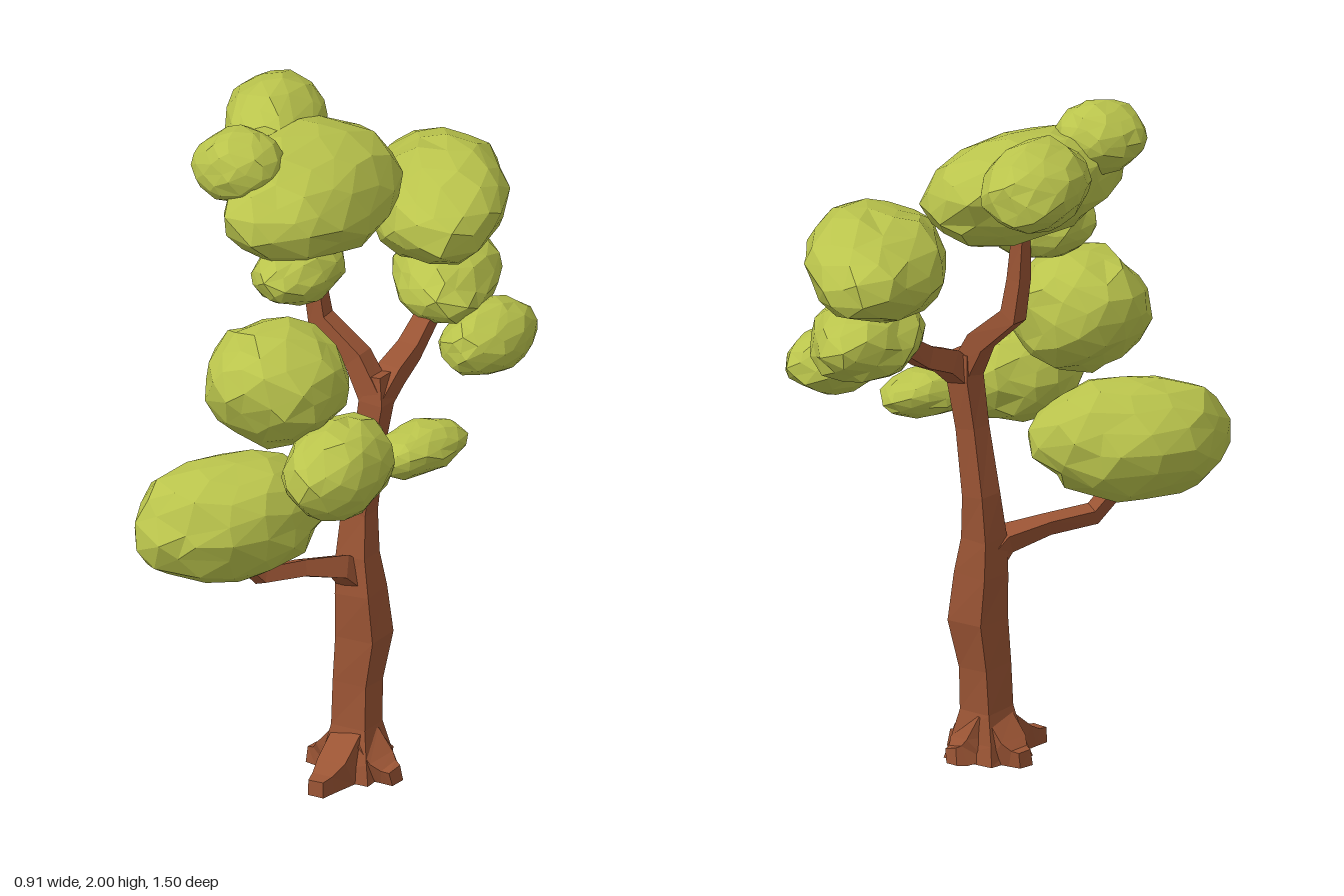
import * as THREE from 'three';

const bark = new THREE.MeshStandardMaterial({ color: 0x9a5434, flatShading: true });
const leaf = new THREE.MeshStandardMaterial({ color: 0xbac44c, flatShading: true });
const SIDES = 4;

// Square-section limb through points [x, y, z, corner radius], closed at both ends
function limb(name, points) {
  const centres = points.map(([x, y, z]) => new THREE.Vector3(x, y, z));
  const up = new THREE.Vector3(0, 1, 0);
  const start = centres[1].clone().sub(centres[0]).normalize();
  const turn = new THREE.Quaternion().setFromUnitVectors(up, start);
  const heading = start.clone();
  const pos = [], index = [];
  const push = (v) => pos.push(v.x, Math.max(0, v.y), v.z);
  points.forEach((p, i) => {
    const a = centres[Math.max(0, i - 1)], b = centres[Math.min(points.length - 1, i + 1)];
    const tangent = b.clone().sub(a).normalize();
    turn.premultiply(new THREE.Quaternion().setFromUnitVectors(heading, tangent));
    heading.copy(tangent);
    for (let s = 0; s < SIDES; s++) {
      const t = ((s + 0.5) / SIDES) * Math.PI * 2;
      const r = p[3] * (1 + 0.05 * Math.sin(s * 2.3 + i * 1.7));
      push(new THREE.Vector3(Math.cos(t) * r, 0, Math.sin(t) * r).applyQuaternion(turn).add(centres[i]));
    }
  });
  for (let i = 0; i < points.length - 1; i++) {
    for (let s = 0; s < SIDES; s++) {
      const a = i * SIDES + s, b = i * SIDES + (s + 1) % SIDES;
      index.push(a, a + SIDES, b, b, a + SIDES, b + SIDES);
    }
  }
  const last = (points.length - 1) * SIDES, bottom = points.length * SIDES;
  push(centres[0]);
  push(centres[centres.length - 1]);
  for (let s = 0; s < SIDES; s++) {
    const n = (s + 1) % SIDES;
    index.push(bottom, s, n, bottom + 1, last + n, last + s);
  }
  const geo = new THREE.BufferGeometry();
  geo.setAttribute('position', new THREE.Float32BufferAttribute(pos, 3));
  geo.setIndex(index);
  geo.computeVertexNormals();
  const mesh = new THREE.Mesh(geo, bark);
  mesh.name = name;
  return mesh;
}

// Irregular faceted clump of leaves
function clump(name, centre, radii, yaw, roll, seed) {
  const geo = new THREE.IcosahedronGeometry(1, 2);
  const p = geo.attributes.position, v = new THREE.Vector3();
  for (let i = 0; i < p.count; i++) {
    v.fromBufferAttribute(p, i).normalize();
    const { x, y, z } = v;
    const bump = 1.025 + 0.03 * Math.sin(5 * x + 3 * y + seed) + 0.03 * Math.sin(6 * z - 4 * y + seed * 2.1)
      + 0.025 * Math.sin(11 * x + 9 * z + 13 * y + seed);
    v.x += 0.12 * Math.sin(9 * y + 7 * z + seed * 3);
    v.z += 0.1 * Math.sin(8 * x + 10 * y + seed);
    v.normalize().multiplyScalar(bump);
    p.setXYZ(i, v.x * radii[0], v.y * radii[1], v.z * radii[2]);
  }
  geo.computeVertexNormals();
  const mesh = new THREE.Mesh(geo, leaf);
  mesh.name = name;
  mesh.position.set(...centre);
  mesh.rotation.set(0, yaw, roll);
  return mesh;
}

export function createModel() {
  const tree = new THREE.Group();
  tree.name = 'tree';

  // Trunk and branches
  tree.add(
    limb('trunk', [
      [0.12, 0, 0.08, 0.125], [0.12, 0.06, 0.08, 0.105], [0.122, 0.15, 0.075, 0.08], [0.122, 0.28, 0.065, 0.075],
      [0.13, 0.42, 0.048, 0.085], [0.12, 0.56, 0.053, 0.08], [0.112, 0.67, 0.05, 0.068], [0.11, 0.8, 0.035, 0.054],
      [0.135, 1.0, 0.03, 0.048], [0.155, 1.15, 0.02, 0.056], [0.15, 1.23, 0.015, 0.048],
    ]),
    limb('upperBranch', [
      [0.155, 1.16, 0.02, 0.05], [0.09, 1.27, 0.015, 0.045], [-0.03, 1.37, 0.015, 0.042],
      [-0.045, 1.48, 0.02, 0.035], [-0.055, 1.6, 0.02, 0.028], [-0.06, 1.78, 0.02, 0.015],
    ]),
    limb('backBranch', [
      [0.155, 1.15, 0.02, 0.05], [0.165, 1.21, -0.05, 0.05], [0.17, 1.245, -0.15, 0.045],
      [0.17, 1.32, -0.28, 0.037], [0.17, 1.4, -0.38, 0.025],
    ]),
    limb('lowBranch', [
      [0.11, 0.59, 0.05, 0.055], [0.09, 0.65, 0.12, 0.046], [0.03, 0.68, 0.24, 0.034],
      [-0.03, 0.695, 0.37, 0.033], [-0.06, 0.75, 0.41, 0.031], [-0.07, 0.86, 0.45, 0.022],
    ]),
  );

  // Root flares: tip x, tip z
  const roots = [[-0.03, 0.07], [0.11, 0.3], [0.27, 0.11], [0.15, -0.05]];
  roots.forEach(([x, z]) => {
    const at = (t, y, r) => [0.12 + (x - 0.12) * t, y, 0.08 + (z - 0.08) * t, r];
    tree.add(limb('root', [at(0.1, 0.1, 0.07), at(0.5, 0.035, 0.066), at(0.8, 0.02, 0.046), at(1, 0.022, 0.036)]));
  });

  // Leaf clumps: name, centre, radii, yaw, roll
  const clumps = [
    ['lowLeaves', [-0.082, 0.91, 0.48], [0.2, 0.178, 0.288], -0.6, 0],
    ['lowSideLeaves', [0.21, 1.08, 0.35], [0.143, 0.142, 0.223], 0.05, 0],
    ['smallSideLeaves', [0.33, 1.06, 0.075], [0.097, 0.07, 0.168], -0.2, 0],
    ['middleLeaves', [0.01, 1.31, 0.352], [0.2, 0.178, 0.2], 0, 0],
    ['backSideLeaves', [0.335, 1.255, -0.327], [0.115, 0.1, 0.19], 0, 0],
    ['backLowerLeaves', [0.14, 1.38, -0.435], [0.155, 0.115, 0.275], 0.45, 0],
    ['backUpperLeaves', [0.105, 1.605, -0.435], [0.203, 0.15, 0.353], 0.58, 0.2],
    ['crownLeaves', [-0.06, 1.765, 0.02], [0.215, 0.158, 0.352], 0, -0.35],
    ['crownBackLeaves', [-0.29, 1.855, -0.19], [0.142, 0.124, 0.232], 0.4, 0],
    ['crownTopLeaves', [-0.19, 1.895, 0.215], [0.13, 0.103, 0.128], 0, 0],
    ['crownLowerLeaves', [-0.005, 1.6, 0.187], [0.118, 0.092, 0.182], 0, 0],
  ];
  clumps.forEach((c, i) => tree.add(clump(...c, i * 1.3 + 0.5)));
  return tree;
}
